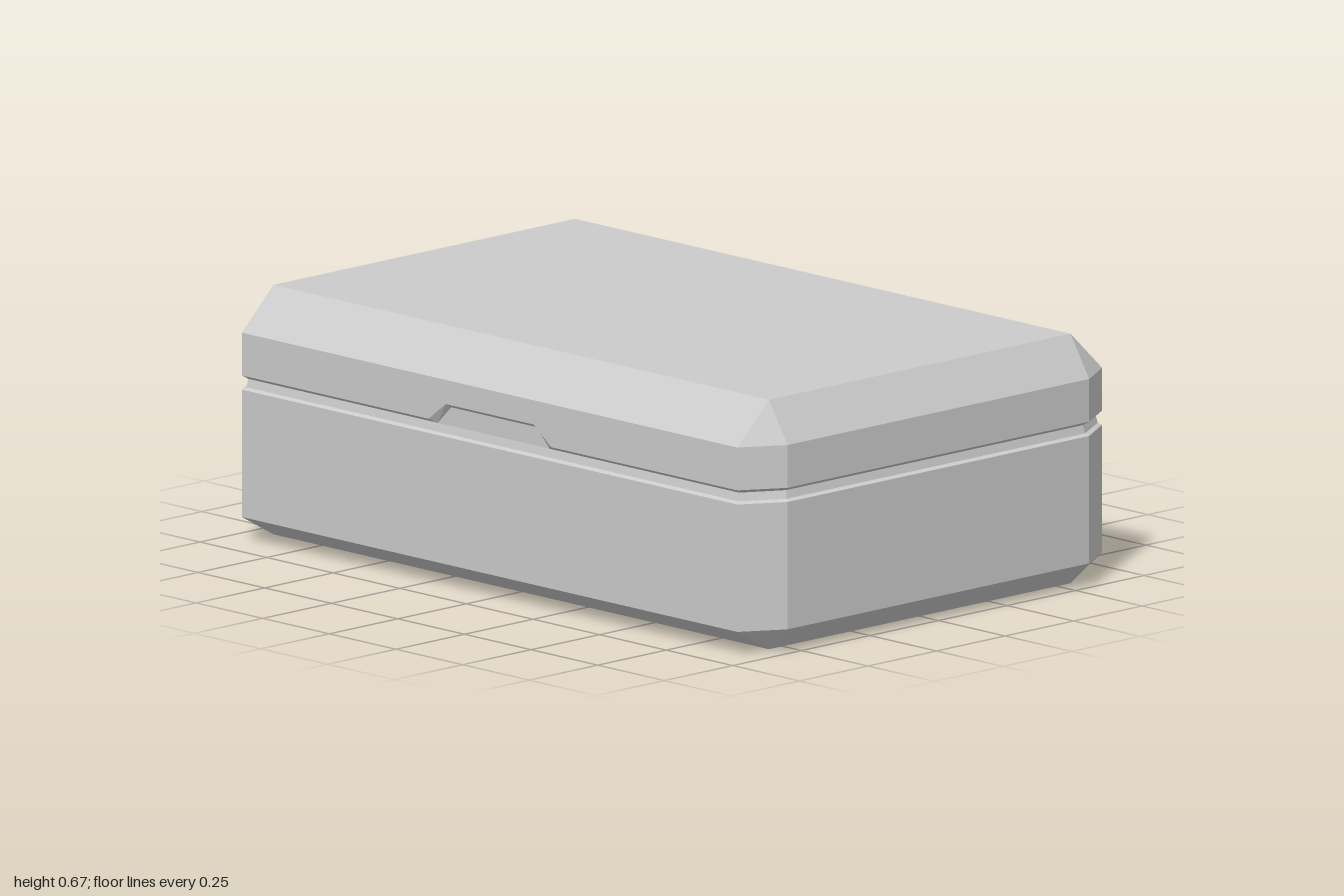
import * as THREE from 'three';

const X = 0.665, Z = 1, XC = 0.55, ZC = 0.93;   // half sizes and where the corner cuts start
const INSET = 0.015;                            // depth of the seam groove and finger notches

// Quarter of an eight-sided outline at height y, pulled in by d
const ring = (y, d = 0) => [
  [X - d, y, 0], [X - d, y, ZC - d * 0.6], [XC - d * 0.6, y, Z - d], [0, y, Z - d],
];
// Quarter of the smaller rectangle that ends the top and bottom bevels
const rect = (y) => [[XC, y, 0], [XC, y, ZC], [XC, y, ZC], [0, y, ZC]];

// Faces between two rings, lower ring first; "first" skips the side wall
const band = (a, b, first = 0) => [0, 1, 2].slice(first)
  .map((i) => [a[i + 1], a[i], b[i], b[i + 1]]);
const cap = (y) => [[0, y, 0], [0, y, ZC], [XC, y, ZC], [XC, y, 0]];

// Mirror quarter polygons into all four quarters and make one flat-shaded mesh
function part(name, polygons) {
  const pos = [];
  for (const sx of [1, -1]) for (const sz of [1, -1]) {
    for (const poly of polygons) {
      const p = poly.map(([x, y, z]) => new THREE.Vector3(x * sx, y, z * sz));
      if (sx * sz < 0) p.reverse();
      for (let i = 1; i < p.length - 1; i++) {
        const tri = new THREE.Triangle(p[0], p[i], p[i + 1]);
        if (tri.getArea() < 1e-9) continue;
        for (const v of [tri.a, tri.b, tri.c]) pos.push(v.x, v.y, v.z);
      }
    }
  }
  const geo = new THREE.BufferGeometry();
  geo.setAttribute('position', new THREE.Float32BufferAttribute(pos, 3));
  geo.computeVertexNormals();
  const mesh = new THREE.Mesh(geo, new THREE.MeshStandardMaterial({ color: 0xcccccc, flatShading: true }));
  mesh.name = name;
  return mesh;
}

export function createModel() {
  const group = new THREE.Group();
  group.name = 'box';
  const seam = 0.435, lip = 0.445, shoulder = 0.56, top = 0.67, rim = 0.407;

  // Base with bevelled foot
  group.add(part('base', [
    cap(0).reverse(),
    ...band(rect(0), ring(0.065)),
    ...band(ring(0.065), ring(rim)),
  ]));

  // Recessed band between base and lid
  group.add(part('seamGroove', [
    ...band(ring(rim), ring(0.413, 0.01)),
    ...band(ring(0.413, 0.01), ring(seam, INSET)),
  ]));

  // Notch outline on the side wall (o) and on its recessed floor (f)
  const xi = X - INSET;
  const o1 = [X, lip, 0.23], o2 = [X, 0.495, 0.165];
  const f1 = [xi, seam, 0.21], f2 = [xi, 0.485, 0.16];

  // Lid; its side walls and lip are pieced around the notch
  group.add(part('lid', [
    ...band(ring(seam, INSET), ring(lip), 1),
    ...band(ring(lip), ring(shoulder), 1),
    ...band(ring(shoulder), rect(top)),
    cap(top),
    [ring(seam, INSET)[1], f1, o1, ring(lip)[1]],
    [ring(lip)[1], o1, o2, [X, shoulder, 0.165], ring(shoulder)[1]],
    [o2, [X, 0.495, 0], [X, shoulder, 0], [X, shoulder, 0.165]],
  ]));

  // Finger notches on both sides
  group.add(part('fingerNotches', [
    [f1, f2, o2, o1],
    [f2, [xi, 0.485, 0], [X, 0.495, 0], o2],
    [f1, [xi, seam, 0], [xi, 0.485, 0], f2],
  ]));

  return group;
}
